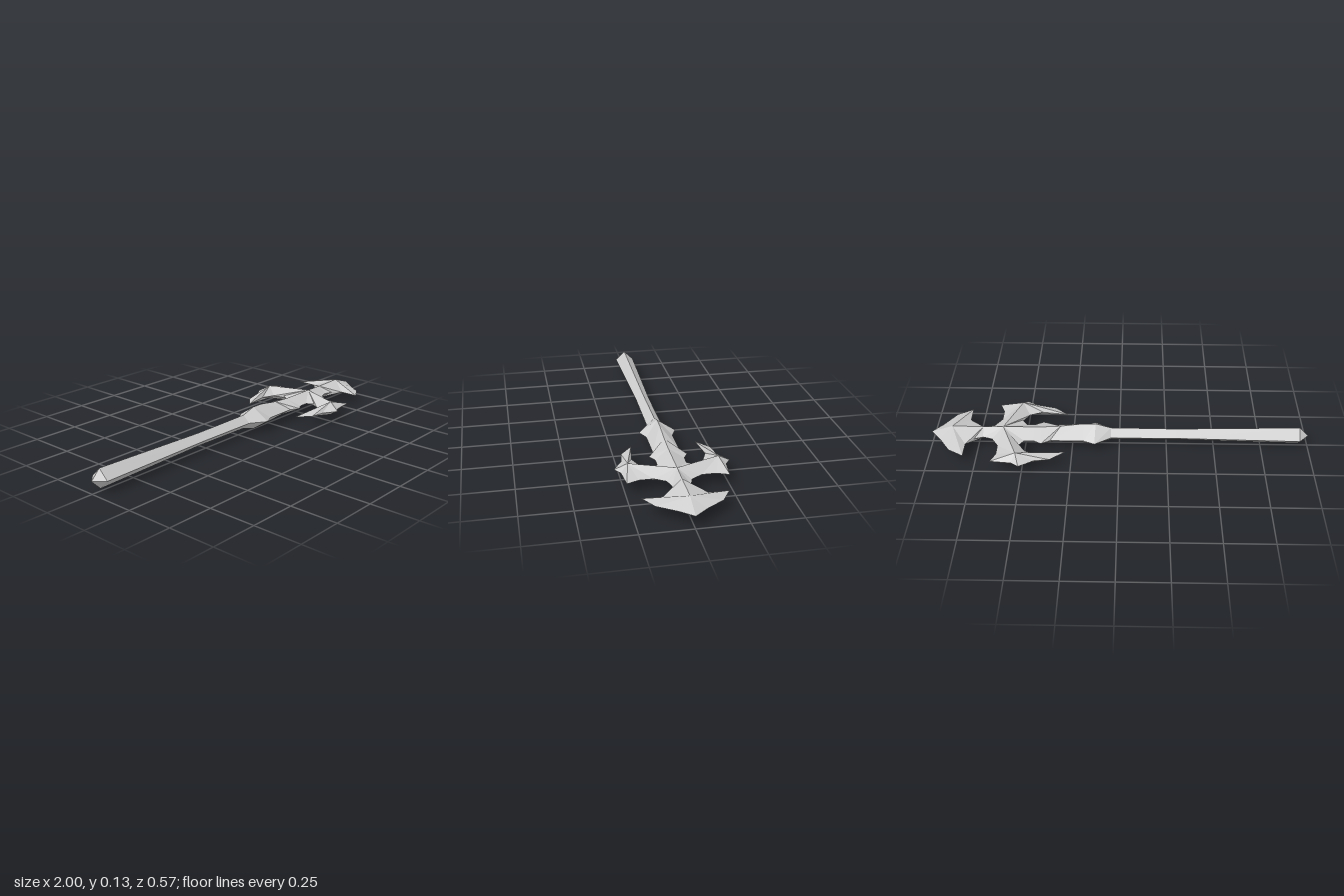
import * as THREE from 'three';

const MID = 0.064; // height of the weapon's plane of symmetry

// Ridge points shared between parts: [x, z, height above the mid plane]
const NECK = [0.45, 0, 0.038];
const HUB = [0.615, 0, 0.038];
const WING = [0.53, 0.22, 0.038];
const SPINE = [0.72, 0, 0.036];
const APEX = [0.885, 0, 0.038];

// Each part is a list of [outline x, outline z, ridge point above it]
const parts = {
  shaft: [
    [-1, 0, [-1, 0, 0]],
    [-0.95, 0.052, [-0.95, 0, 0.051]],
    [-0.3, 0.037, [-0.3, 0, 0.035]],
    [0.045, 0.04, [0.045, 0, 0.038]],
  ],
  collar: [
    [0.045, 0.04, [0.045, 0, 0.038]],
    [0.13, 0.095, [0.125, 0, 0.063]],
    [0.19, 0.068, [0.19, 0, 0.062]],
    [0.365, 0.068, [0.31, 0, 0.045]],
    [0.41, 0.095, [0.41, 0, 0.038]],
    [0.45, 0.072, NECK],
  ],
  hookedWings: [
    [0.45, 0.072, NECK],
    [0.5, 0.072, HUB],
    [0.525, 0.11, HUB],
    [0.49, 0.155, WING],
    [0.42, 0.183, WING],
    [0.28, 0.163, WING],
    [0.355, 0.225, WING],
    [0.435, 0.236, WING],
    [0.47, 0.26, WING],
    [0.51, 0.283, WING],
    [0.55, 0.256, WING],
    [0.66, 0.245, WING],
    [0.635, 0.185, WING],
    [0.635, 0.115, HUB],
    [0.67, 0.06, HUB],
    [0.72, 0.045, SPINE],
  ],
  axeBlade: [
    [0.72, 0.045, SPINE],
    [0.765, 0.06, SPINE],
    [0.805, 0.105, APEX],
    [0.805, 0.203, APEX],
    [0.885, 0.155, APEX],
    [0.945, 0.065, APEX],
    [1, 0, [1, 0, 0]],
  ],
};

// Joins an outline to its ridge, mirrored front to back and top to bottom
function bevelled(rows) {
  const positions = [];
  for (const sy of [1, -1]) {
    for (const sz of [1, -1]) {
      const at = ([x, z, h]) => new THREE.Vector3(x, MID + sy * h, sz * z);
      const face = (a, b, c) => {
        const t = new THREE.Triangle(at(a), at(b), at(c));
        if (t.getArea() < 1e-7) return;
        const corners = sy * sz > 0 ? [t.a, t.b, t.c] : [t.a, t.c, t.b];
        corners.forEach((p) => positions.push(p.x, p.y, p.z));
      };
      for (let i = 0; i < rows.length - 1; i++) {
        const [x0, z0, r0] = rows[i];
        const [x1, z1, r1] = rows[i + 1];
        const next = [x1, z1, 0];
        face([x0, z0, 0], next, r0);
        face(next, r1, r0);
      }
    }
  }
  const geometry = new THREE.BufferGeometry();
  geometry.setAttribute('position', new THREE.Float32BufferAttribute(positions, 3));
  geometry.computeVertexNormals();
  return geometry;
}

export function createModel() {
  const steel = new THREE.MeshStandardMaterial({ color: 0xcccccc, flatShading: true });
  steel.name = 'paleSteel';
  const model = new THREE.Group();
  model.name = 'battleAxe';
  for (const [name, rows] of Object.entries(parts)) {
    const mesh = new THREE.Mesh(bevelled(rows), steel);
    mesh.name = name;
    model.add(mesh);
  }
  return model;
}
